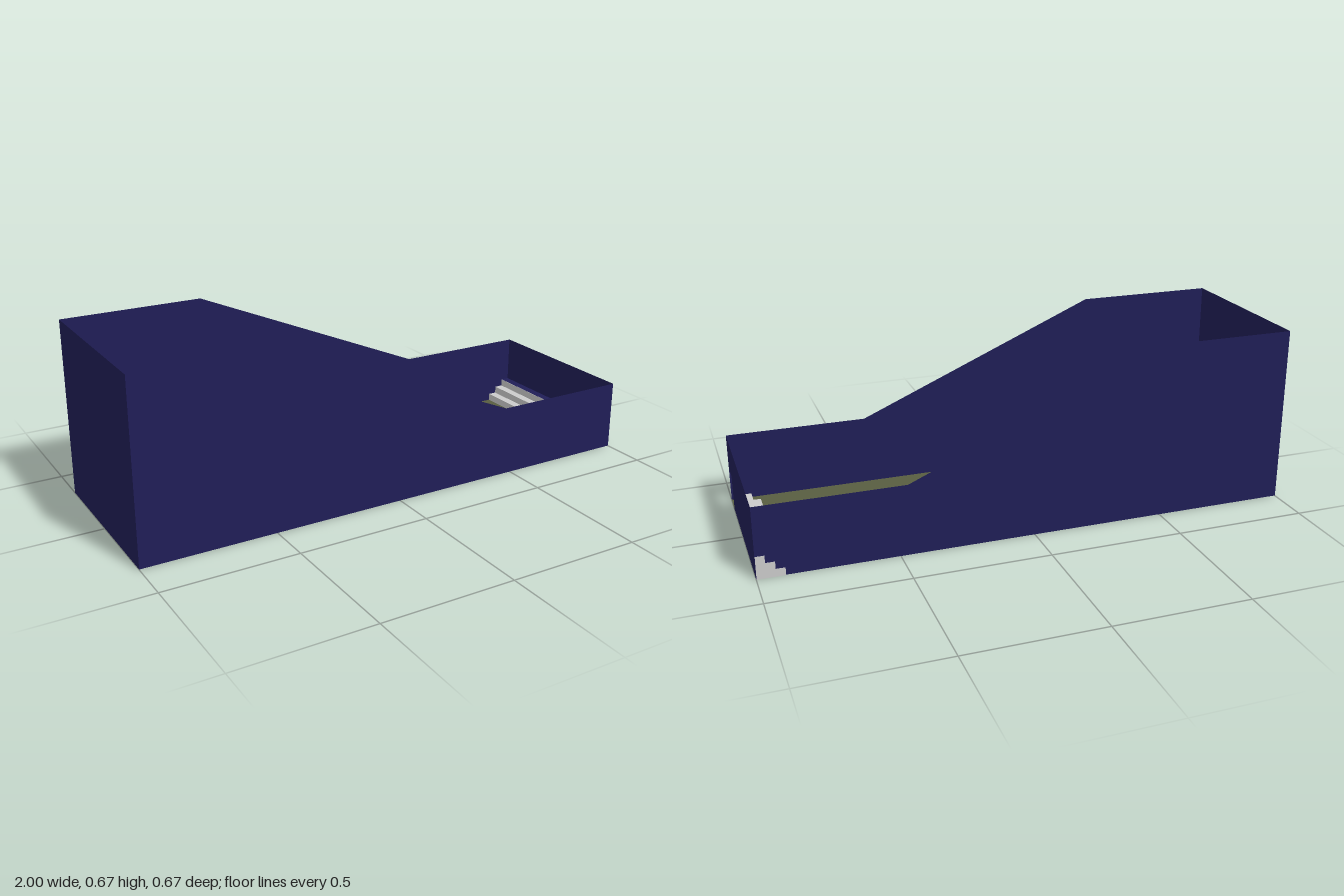
import * as THREE from 'three';

const L = 1, D = 1 / 3, HIGH = 2 / 3, LOW = 0.267, SLOPE = 0.467;
const DOOR_Z = 0.248, DOOR_H = 0.134;
const STEP_RUN = 1 / 30, STEP_RISE = 0.028, STEPS = 3;

const paint = (color) => new THREE.MeshStandardMaterial({ color, side: THREE.DoubleSide, flatShading: true });

const polygon = (points) => new THREE.Shape(points.map(([x, y]) => new THREE.Vector2(x, y)));

export function createModel() {
  const model = new THREE.Group();
  const navy = paint(0x201e57), olive = paint(0x585d41), grey = paint(0xcccccc);

  const add = (name, geometry, material) => {
    const mesh = new THREE.Mesh(geometry, material);
    mesh.name = name;
    model.add(mesh);
    return mesh;
  };

  // Floor sheet
  add('floor', new THREE.PlaneGeometry(2 * L, 2 * D).rotateX(-Math.PI / 2), olive);

  // Long side walls, stepping down from high to low along a slope
  const side = polygon([[-L, 0], [L, 0], [L, LOW], [SLOPE, LOW], [-SLOPE, HIGH], [-L, HIGH]]);
  add('frontWall', new THREE.ShapeGeometry(side), navy).position.z = D;
  add('backWall', new THREE.ShapeGeometry(side), navy).position.z = -D;

  // Tall end wall
  add('highEndWall', new THREE.PlaneGeometry(2 * D, HIGH).rotateY(-Math.PI / 2), navy)
    .position.set(-L, HIGH / 2, 0);

  // Low end wall with a doorway at the front corner (shape x runs along -z)
  const end = polygon([[-DOOR_Z, 0], [D, 0], [D, LOW], [-D, LOW], [-D, DOOR_H], [-DOOR_Z, DOOR_H]]);
  add('lowEndWall', new THREE.ShapeGeometry(end).rotateY(Math.PI / 2), navy).position.x = L;

  // Steps rising towards the low end wall, stopping short of the doorway
  const x0 = L - STEPS * STEP_RUN, bottom = -0.001, xEnd = L - 0.001;
  const profile = [[xEnd, bottom], [xEnd, STEPS * STEP_RISE]];
  for (let i = STEPS - 1; i >= 0; i--) {
    profile.push([x0 + i * STEP_RUN, (i + 1) * STEP_RISE], [x0 + i * STEP_RUN, i ? i * STEP_RISE : bottom]);
  }
  const stepsBack = -D - 0.001, stepsFront = 0.243;
  const stair = new THREE.ExtrudeGeometry(polygon(profile.reverse()), {
    depth: stepsFront - stepsBack, bevelEnabled: false,
  });
  add('steps', stair, grey).position.z = stepsBack;

  // Navy covering on the top tread
  add('topTread', new THREE.PlaneGeometry(STEP_RUN, stepsFront + D).rotateX(-Math.PI / 2), navy)
    .position.set(L - STEP_RUN / 2, STEPS * STEP_RISE + 0.001, (stepsFront - D) / 2);

  return model;
}
